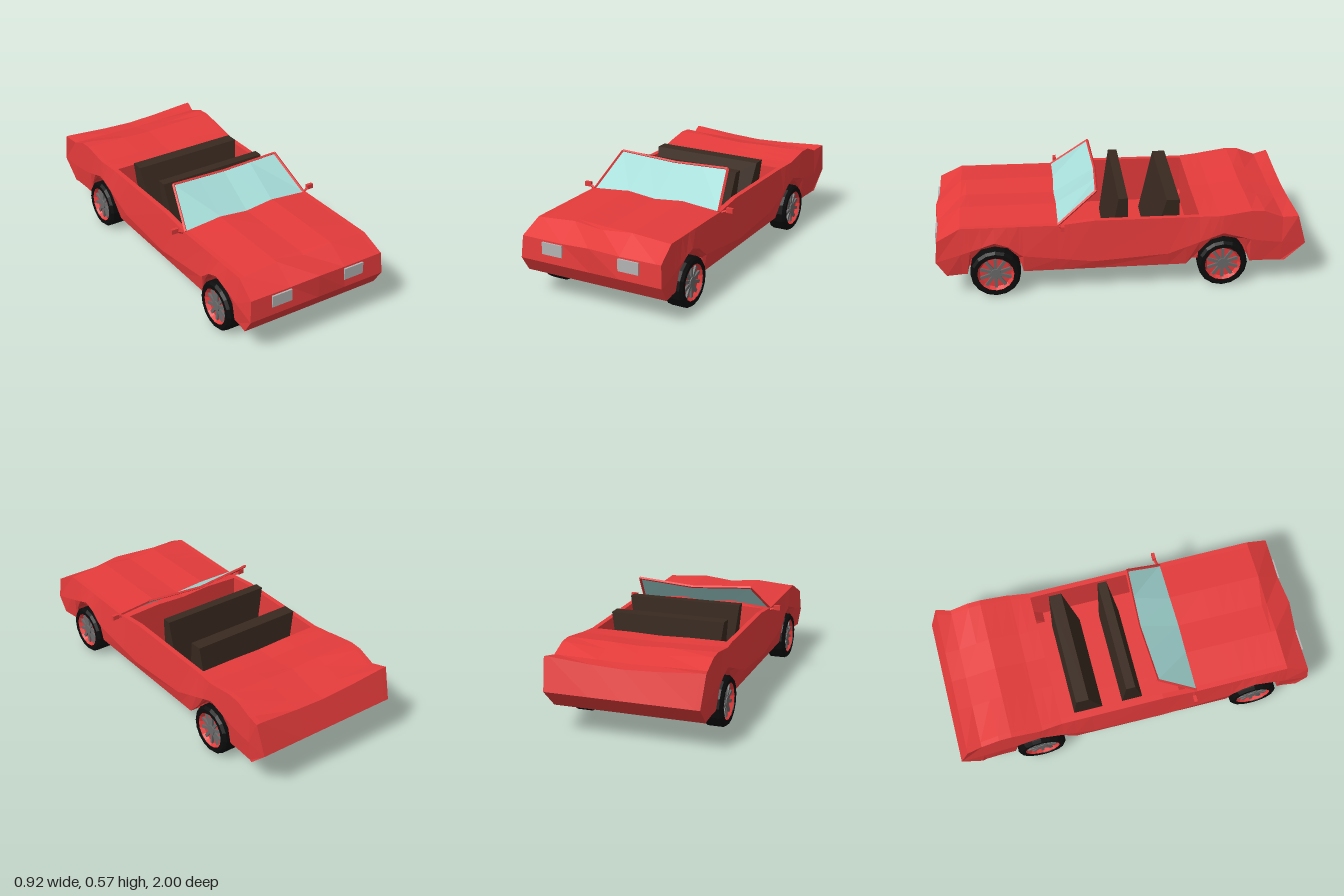
import * as THREE from 'three';

const mat = (color, extra = {}) => new THREE.MeshStandardMaterial({ color, flatShading: true, ...extra });
const RED = mat(0xe53b3b, { side: THREE.DoubleSide });
const BLACK = mat(0x0c0c0c);
const BROWN = mat(0x3a2a20);
const GREY = mat(0x6a6a6a);
const LAMP = mat(0xb4b4b4);
const GLASS = mat(0xa6dcd8, { side: THREE.DoubleSide });

const FLOOR = 0.135, WHEEL_R = 0.135, AXLES = [0.68, -0.55];

// linear interpolation through [z, value] keys, ordered front to rear
function along(keys, z) {
  if (z >= keys[0][0]) return keys[0][1];
  for (let i = 1; i < keys.length; i++) {
    const [z0, v0] = keys[i - 1], [z1, v1] = keys[i];
    if (z >= z1) return v0 + (v1 - v0) * (z0 - z) / (z0 - z1);
  }
  return keys[keys.length - 1][1];
}

// surface through rows of points of equal length
function grid(rows) {
  const pos = [];
  for (let i = 0; i < rows.length - 1; i++) {
    for (let j = 0; j < rows[i].length - 1; j++) {
      const a = rows[i][j], b = rows[i][j + 1], d = rows[i + 1][j], c = rows[i + 1][j + 1];
      pos.push(...a, ...d, ...c, ...a, ...c, ...b);
    }
  }
  const g = new THREE.BufferGeometry();
  g.setAttribute('position', new THREE.Float32BufferAttribute(pos, 3));
  g.computeVertexNormals();
  return g;
}

// half row ending on the centre line, continued on the other side
const mirrorRow = half => [...half, ...half.slice(0, -1).reverse().map(([x, y, z]) => [-x, y, z])];

function add(parent, name, geometry, material, x = 0, y = 0, z = 0) {
  const m = new THREE.Mesh(geometry, material);
  m.name = name;
  m.position.set(x, y, z);
  parent.add(m);
  return m;
}

// square bar between two points
function bar(parent, name, a, b, r, material) {
  const p = new THREE.Vector3(...a), q = new THREE.Vector3(...b);
  const m = add(parent, name, new THREE.CylinderGeometry(r, r, p.distanceTo(q), 4), material);
  m.position.copy(p).add(q).multiplyScalar(0.5);
  m.quaternion.setFromUnitVectors(new THREE.Vector3(0, 1, 0), q.sub(p).normalize());
}

// body profiles along the length
const crease = [[0.985, 0.22], [0.83, 0.27], [0.68, 0.32], [0.53, 0.235], [0.15, 0.185], [-0.25, 0.21], [-0.55, 0.32], [-0.72, 0.27], [-0.95, 0.24]];
const shoulderY = [[0.985, 0.34], [0.86, 0.405], [0.34, 0.4], [0.15, 0.42], [-0.42, 0.415], [-0.53, 0.42], [-0.7, 0.445], [-0.77, 0.44], [-0.87, 0.4], [-0.95, 0.413]];
const shoulderX = [[0.985, 0.408], [0.86, 0.395], [-0.42, 0.395], [-0.55, 0.41], [-0.87, 0.41], [-0.95, 0.43]];
const lowX = [[0.985, 0.412], [0.85, 0.4], [-0.8, 0.4], [-0.95, 0.41]];
const deckY = [[0.985, 0.338], [0.86, 0.42], [0.34, 0.42], [0.28, 0.415], [-0.42, 0.415], [-0.53, 0.415], [-0.7, 0.442], [-0.87, 0.397], [-0.95, 0.395]];
const centreY = [[0.985, 0.352], [0.84, 0.41], [0.34, 0.405], [-0.42, 0.41], [-0.53, 0.41], [-0.7, 0.435], [-0.87, 0.392], [-0.95, 0.388]];
const arches = [
  [[0.83, FLOOR], [0.81, 0.22], [0.75, 0.28], [0.68, 0.295], [0.61, 0.28], [0.55, 0.22], [0.53, FLOOR]],
  [[-0.35, FLOOR], [-0.42, 0.21], [-0.48, 0.275], [-0.55, 0.295], [-0.62, 0.28], [-0.68, 0.22], [-0.7, FLOOR]],
];

// one cross-section; ends lean by their own z at sill and crease
function section(z, open = false, zLow = z, zMid = z, zNose = z) {
  const a = Math.max(...arches.map(k => along(k, z)));
  const sy = along(shoulderY, z), sx = along(shoulderX, z), lx = along(lowX, z);
  const rim = sx - 0.028, inner = 0.15;
  return [
    [0, FLOOR, zLow], [0.31, FLOOR, zLow], [0.31, a, zLow], [lx, a, zLow],
    [0.416, Math.max(along(crease, z), a + 0.015), zMid],
    [sx, sy, z], [rim, sy, z], [rim, open ? inner : sy, z],
    [0.17, open ? inner : along(deckY, z), z], [0, open ? inner : along(centreY, z), zNose],
  ];
}

function buildBody(car) {
  const nose = section(0.985, false, 0.94, 0.995, 1), tail = section(-0.95, false, -0.89, -1);
  const hood = [0.86, 0.83, 0.81, 0.75, 0.68, 0.61, 0.55, 0.53, 0.34, 0.28];
  const cockpit = [0.28, 0.15, -0.25, -0.35, -0.42];
  const trunk = [-0.42, -0.48, -0.53, -0.55, -0.62, -0.68, -0.7, -0.77, -0.87];
  const rings = [nose, ...hood.map(z => section(z)), ...cockpit.map(z => section(z, true)),
    ...trunk.map(z => section(z)), tail];
  add(car, 'body', grid(rings.map(mirrorRow)), RED);

  // closing panels: sill, crease and deck edge rows
  const panel = s => [3, 4, 5].map(k => {
    const [x, y, z] = s[k];
    return mirrorRow(k === 5 ? [s[5], s[6], s[8], s[9]] : [[x, y, z], [x - 0.028, y, z], [0.17, y, z], [0, y, z]]);
  });
  add(car, 'frontFascia', grid(panel(nose)), RED);
  add(car, 'rearFascia', grid(panel(tail).reverse()), RED);
}

function buildWindshield(car) {
  const base = [[0.385, 0.4, 0.34], [0.165, 0.42, 0.34], [0, 0.405, 0.345]];
  const top = [[0.33, 0.566, 0.13], [0.165, 0.556, 0.122], [0, 0.546, 0.115]];
  add(car, 'windshield', grid([mirrorRow(base), mirrorRow(top)]), GLASS);
  for (const s of [1, -1]) {
    const side = ([x, y, z]) => [s * x, y, z];
    bar(car, 'windshieldPillar', side(base[0]), side(top[0]), 0.008, RED);
    bar(car, 'windshieldTopRail', side(top[0]), top[2], 0.008, RED);
  }
}

// bench backrest: side profile in [z, y] extruded across the car
function buildSeat(car, name, profile) {
  const shape = new THREE.Shape(profile.map(([z, y]) => new THREE.Vector2(-z, y)));
  const g = new THREE.ExtrudeGeometry(shape, { depth: 0.64, bevelEnabled: false });
  g.translate(0, 0, -0.32).rotateY(Math.PI / 2);
  // narrow towards the foot
  const p = g.attributes.position;
  for (let i = 0; i < p.count; i++) if (p.getY(i) < 0.2) p.setX(i, p.getX(i) * 0.84);
  g.computeVertexNormals();
  add(car, name, g, BROWN);
}

function buildWheel(car, side, z) {
  const wheel = new THREE.Group();
  wheel.name = (side > 0 ? 'left' : 'right') + (z > 0 ? 'Front' : 'Rear') + 'Wheel';
  const lathe = pts => new THREE.LatheGeometry(pts.map(([r, h]) => new THREE.Vector2(r, h)), 16).rotateZ(-Math.PI / 2);
  const R = WHEEL_R;
  add(wheel, 'tire', lathe([[0.098, -0.05], [R, -0.05], [R, 0.036], [0.122, 0.05], [0.1, 0.05], [0.097, 0.03]]), BLACK);
  add(wheel, 'rim', lathe([[0, 0.026], [0.085, 0.026], [0.099, 0.046], [0.1, -0.05], [0.088, -0.05], [0.08, 0.01], [0, 0.01]]), RED);
  add(wheel, 'hub', new THREE.CylinderGeometry(0.028, 0.03, 0.02, 10).rotateZ(-Math.PI / 2), GREY, 0.032);
  for (let i = 0; i < 10; i++) {
    const spoke = new THREE.BoxGeometry(0.014, 0.06, 0.017).translate(0.03, 0.057, 0).rotateX(i * Math.PI / 5);
    add(wheel, 'spoke', spoke, GREY);
  }
  wheel.position.set(side * 0.375, R, z);
  if (side < 0) wheel.rotation.y = Math.PI;
  car.add(wheel);
}

export function createModel() {
  const car = new THREE.Group();
  car.name = 'convertible';
  buildBody(car);
  buildWindshield(car);

  buildSeat(car, 'frontSeat', [[-0.05, 0.14], [0.07, 0.14], [0.01, 0.505], [-0.04, 0.505]]);
  buildSeat(car, 'rearSeat', [[-0.33, 0.13], [-0.16, 0.13], [-0.25, 0.485], [-0.32, 0.485]]);

  for (const s of [1, -1]) {
    AXLES.forEach(z => buildWheel(car, s, z));
    add(car, 'headlight', new THREE.BoxGeometry(0.12, 0.065, 0.02), LAMP, s * 0.225, 0.297, 0.986);
    add(car, 'seatMount', new THREE.BoxGeometry(0.13, 0.02, 0.08), BROWN, s * 0.18, 0.141, 0.01);
    // door mirror on a short stalk
    add(car, 'mirror', new THREE.BoxGeometry(0.038, 0.026, 0.018), RED, s * 0.44, 0.409, 0.318);
    bar(car, 'mirrorStalk', [s * 0.39, 0.39, 0.33], [s * 0.43, 0.405, 0.318], 0.008, RED);
  }
  return car;
}
